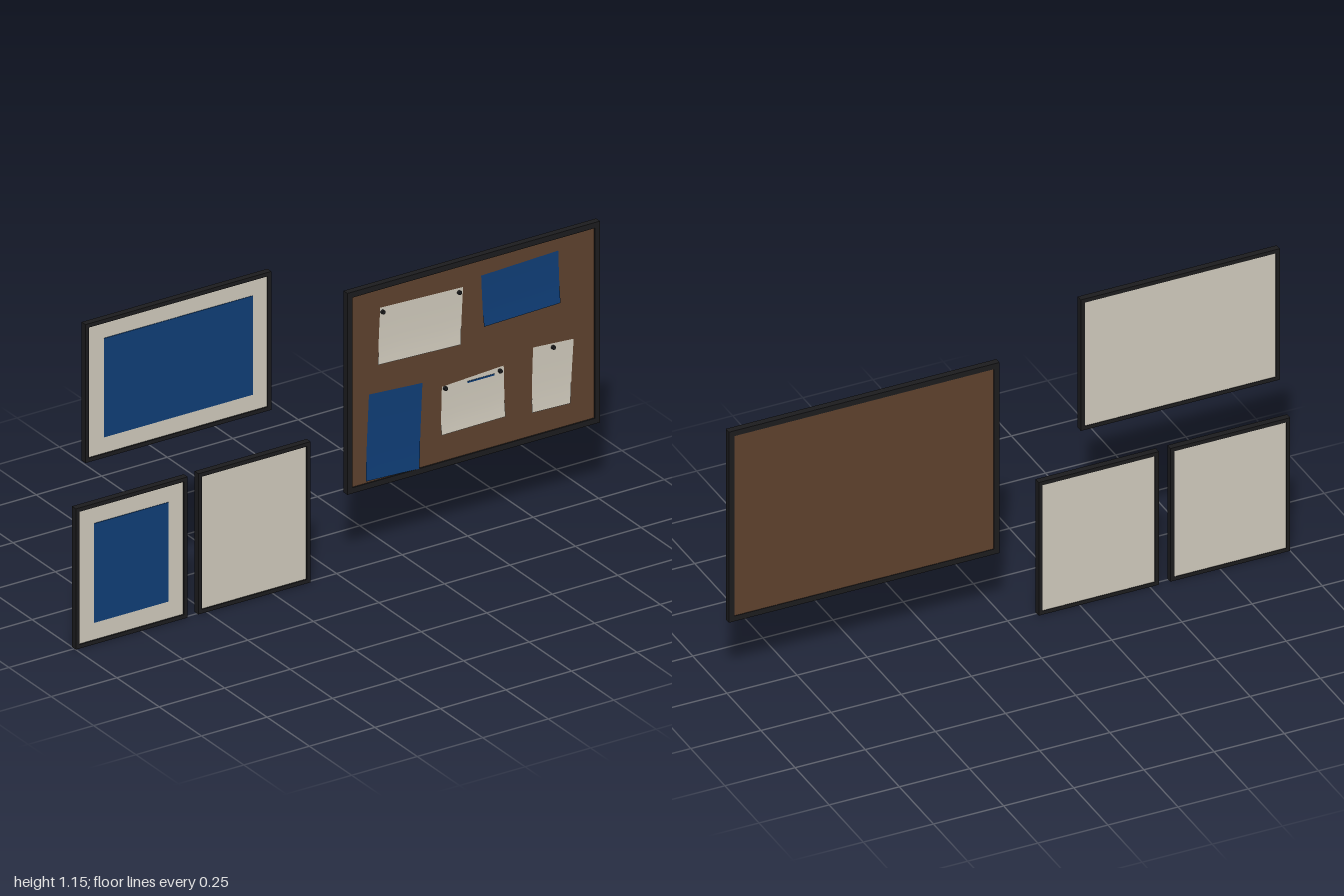
import * as THREE from 'three';

const mat = (name, color, side = THREE.FrontSide) => {
  const m = new THREE.MeshStandardMaterial({ color, side });
  m.name = name;
  return m;
};

export function createModel() {
  const black = mat('blackFrame', 0x1c1c1e);
  const cream = mat('creamPaper', 0xd2ccbe, THREE.DoubleSide);
  const blue = mat('bluePrint', 0x0f3e78, THREE.DoubleSide);
  const brown = mat('brownCork', 0x5f422e);
  const model = new THREE.Group();
  const BACK = -0.015, FRONT = 0.008;

  const add = (parent, name, geometry, material) => {
    const mesh = new THREE.Mesh(geometry, material);
    mesh.name = name;
    parent.add(mesh);
    return mesh;
  };

  // Box given by its x, y and z limits
  const slab = (parent, name, [x0, y0, x1, y1], z0, z1, material) => {
    const mesh = add(parent, name, new THREE.BoxGeometry(x1 - x0, y1 - y0, z1 - z0), material);
    mesh.position.set((x0 + x1) / 2, (y0 + y1) / 2, (z0 + z1) / 2);
  };

  // Rectangular moulding with an opening, around a recessed panel
  const framed = (name, [x0, y0, x1, y1], border, panelMaterial) => {
    const group = new THREE.Group();
    group.name = name;
    model.add(group);
    const rect = (path, d) => path.moveTo(x0 + d, y0 + d).lineTo(x1 - d, y0 + d)
      .lineTo(x1 - d, y1 - d).lineTo(x0 + d, y1 - d).closePath();
    const shape = rect(new THREE.Shape(), 0);
    shape.holes.push(rect(new THREE.Path(), border));
    const moulding = new THREE.ExtrudeGeometry(shape, { depth: FRONT - BACK, bevelEnabled: false });
    moulding.translate(0, 0, BACK);
    add(group, 'moulding', moulding, black);
    const b = border - 0.001;
    slab(group, 'panel', [x0 + b, y0 + b, x1 - b, y1 - b], BACK + 0.002, 0.003, panelMaterial);
    return group;
  };

  // Three picture frames, two holding a blue print
  const wide = framed('widePictureFrame', [-0.963, 0.657, -0.254, 1.152], 0.014, cream);
  slab(wide, 'print', [-0.89, 0.728, -0.323, 1.082], 0.002, 0.005, blue);
  const tall = framed('tallPictureFrame', [-1, 0, -0.573, 0.503], 0.014, cream);
  slab(tall, 'print', [-0.928, 0.075, -0.644, 0.43], 0.002, 0.005, blue);
  framed('blankPictureFrame', [-0.532, 0, -0.104, 0.503], 0.014, cream);

  // Pinboard
  const board = framed('pinboard', [0.036, 0.275, 1, 0.995], 0.02, brown);

  // Sheet through four corners (top left, top right, bottom right, bottom left), curling at its foot
  const sheet = (name, [a, b, c, d], material) => {
    const geometry = new THREE.PlaneGeometry(1, 1, 4, 6);
    const p = geometry.attributes.position;
    for (let i = 0; i < p.count; i++) {
      const u = p.getX(i) + 0.5, v = 0.5 - p.getY(i);
      const mix = (k) => (a[k] * (1 - u) + b[k] * u) * (1 - v) + (d[k] * (1 - u) + c[k] * u) * v;
      p.setXYZ(i, mix(0), mix(1), 0.0055 + 0.005 * v ** 4);
    }
    geometry.computeVertexNormals();
    add(board, name, geometry, material);
  };
  sheet('landscapeNote', [[0.163, 0.909], [0.479, 0.898], [0.468, 0.697], [0.152, 0.709]], cream);
  sheet('landscapeBlueSheet', [[0.548, 0.92], [0.842, 0.931], [0.848, 0.744], [0.556, 0.737]], blue);
  sheet('portraitBlueSheet', [[0.12, 0.61], [0.324, 0.597], [0.31, 0.296], [0.105, 0.305]], blue);
  sheet('lowerNote', [[0.398, 0.563], [0.634, 0.576], [0.638, 0.394], [0.393, 0.392]], cream);
  sheet('portraitNote', [[0.746, 0.61], [0.901, 0.6], [0.886, 0.375], [0.738, 0.38]], cream);
  slab(board, 'noteHeading', [0.495, 0.551, 0.597, 0.557], 0.006, 0.0075, blue);

  // Push pins
  for (const [x, y] of [[0.171, 0.893], [0.463, 0.884], [0.409, 0.556], [0.618, 0.562], [0.821, 0.592]]) {
    const pin = add(board, 'pushPin', new THREE.CylinderGeometry(0.007, 0.007, 0.01, 10), black);
    pin.rotation.x = Math.PI / 2;
    pin.position.set(x, y, 0.01);
  }
  return model;
}
